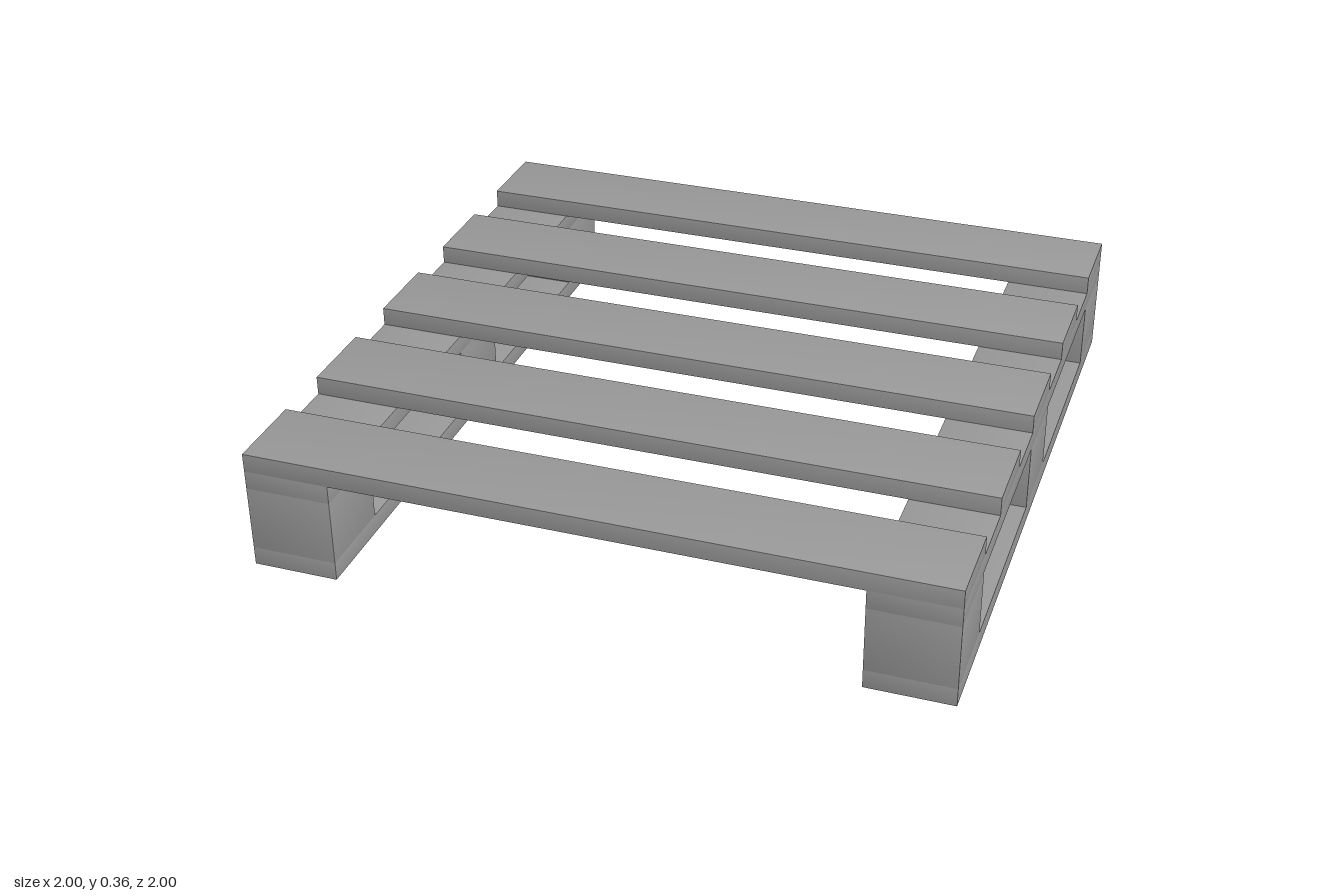
import * as THREE from 'three';

const material = new THREE.MeshStandardMaterial({ color: 0x9a9a9a });

const PLANK = 0.055; // board thickness
const BLOCK = 0.195; // spacer block height
const WIDTH = 0.25; // width of every board and block

// Box whose normals lean slightly towards its corners, for faintly rounded shading
function softBox(w, h, d) {
  const geometry = new THREE.BoxGeometry(1, 1, 1);
  const { position, normal } = geometry.attributes;
  const corner = new THREE.Vector3();
  const n = new THREE.Vector3();
  for (let i = 0; i < position.count; i++) {
    corner.fromBufferAttribute(position, i);
    n.fromBufferAttribute(normal, i).addScaledVector(corner, 0.22).normalize();
    normal.setXYZ(i, n.x, n.y, n.z);
    position.setXYZ(i, corner.x * w, corner.y * h, corner.z * d);
  }
  return geometry;
}

// Box standing on height y0
function addBox(parent, name, w, h, d, x, y0, z) {
  const mesh = new THREE.Mesh(softBox(w, h, d), material);
  mesh.name = name;
  mesh.position.set(x, y0 + h / 2, z);
  parent.add(mesh);
}

export function createModel() {
  const pallet = new THREE.Group();
  pallet.name = 'pallet';

  // Two mirrored runners: bottom board, three blocks, upper board
  for (const side of [1, -1]) {
    const runner = new THREE.Group();
    runner.name = side > 0 ? 'leftRunner' : 'rightRunner';
    runner.position.x = side * (1 - WIDTH / 2);
    addBox(runner, 'bottomBoard', WIDTH, PLANK, 2, 0, 0, 0);
    for (const z of [-0.875, 0, 0.875]) {
      addBox(runner, 'spacerBlock', WIDTH, BLOCK, WIDTH, 0, PLANK, z);
    }
    addBox(runner, 'stringerBoard', WIDTH, PLANK, 2, 0, PLANK + BLOCK, 0);
    pallet.add(runner);
  }

  // Five evenly spaced deck boards across the runners
  for (let i = -2; i <= 2; i++) {
    addBox(pallet, 'deckBoard', 2, PLANK, WIDTH, 0, 2 * PLANK + BLOCK, i * 0.4375);
  }

  return pallet;
}
